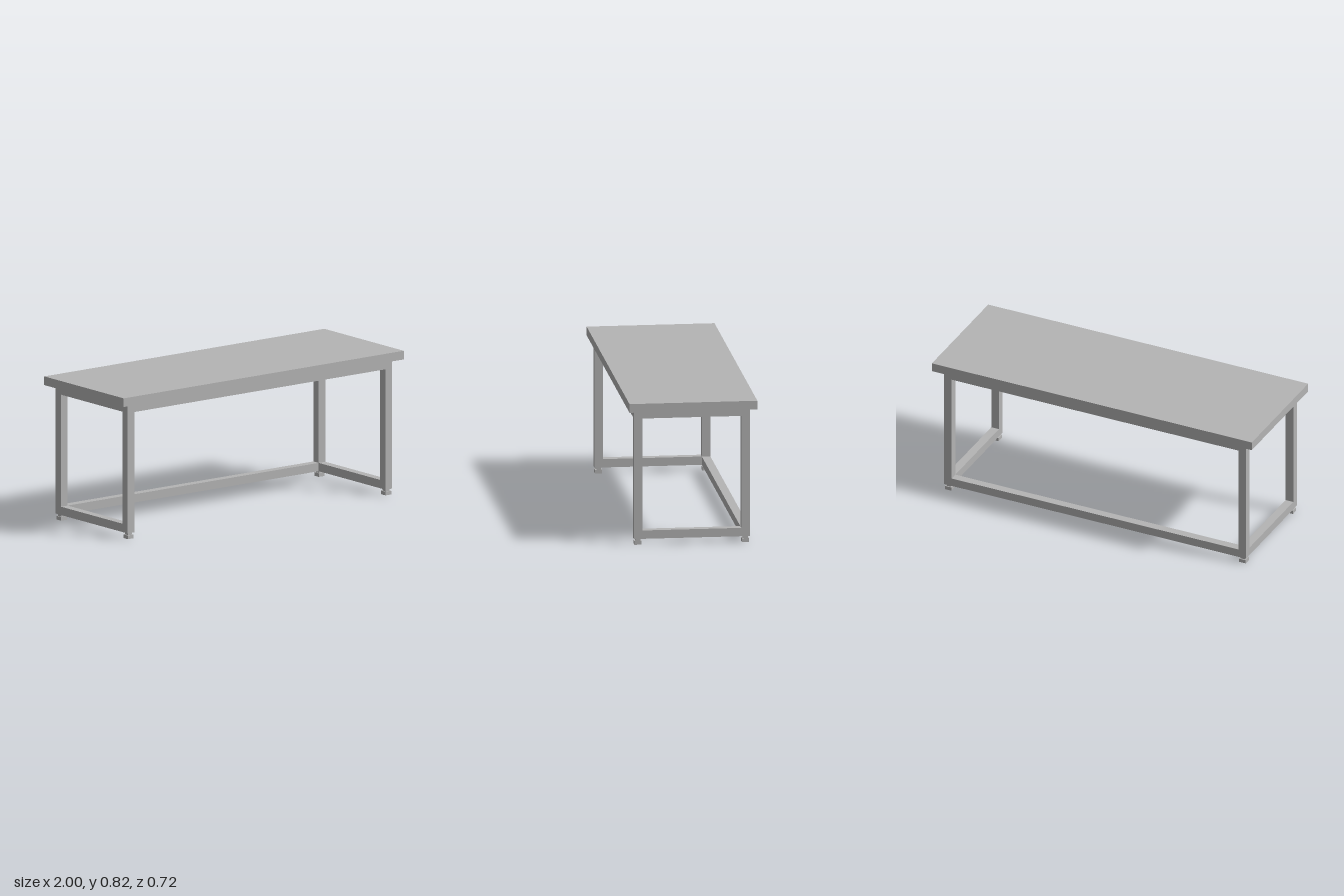
import * as THREE from 'three';

export function createModel() {
  const model = new THREE.Group();
  model.name = 'workTable';
  const grey = new THREE.MeshStandardMaterial({ color: 0xb4b4b4 });
  grey.name = 'grey';

  // Box centred on (x, z), resting at height y
  function box(name, parent, w, h, d, x, y, z) {
    const mesh = new THREE.Mesh(new THREE.BoxGeometry(w, h, d), grey);
    mesh.name = name;
    mesh.position.set(x, y + h / 2, z);
    parent.add(mesh);
  }

  // Table top
  box('tableTop', model, 2, 0.05, 0.724, 0, 0.775, 0);

  // Square tube frame
  const frame = new THREE.Group();
  frame.name = 'frame';
  frame.position.set(-0.002, 0, 0.002);
  model.add(frame);
  const t = 0.048, X = 0.92, Z = 0.304;
  const low = 0.034, high = 0.775 - t;

  for (const sx of [-1, 1]) {
    const side = sx > 0 ? 'left' : 'right';
    for (const sz of [-1, 1]) {
      const corner = side + (sz > 0 ? 'Front' : 'Back');
      box(corner + 'Leg', frame, t, 0.775 - low, t, sx * X, low, sz * Z);
      // Levelling foot: narrow stem on a wider pad
      box(corner + 'FootStem', frame, 0.028, 0.013, 0.028, sx * X, 0.021, sz * Z);
      box(corner + 'FootPad', frame, 0.041, 0.021, 0.041, sx * X, 0, sz * Z);
    }
    // End rails
    box(side + 'TopRail', frame, t, t, 2 * Z - t, sx * X, high, 0);
    box(side + 'BottomRail', frame, t, t, 2 * Z - t, sx * X, low, 0);
  }

  // Long rails; the lower one is at the back only
  box('frontTopRail', frame, 2 * X - t, t, t, 0, high, Z);
  box('backTopRail', frame, 2 * X - t, t, t, 0, high, -Z);
  box('backBottomRail', frame, 2 * X - t, t, t, 0, low, -Z);

  return model;
}
